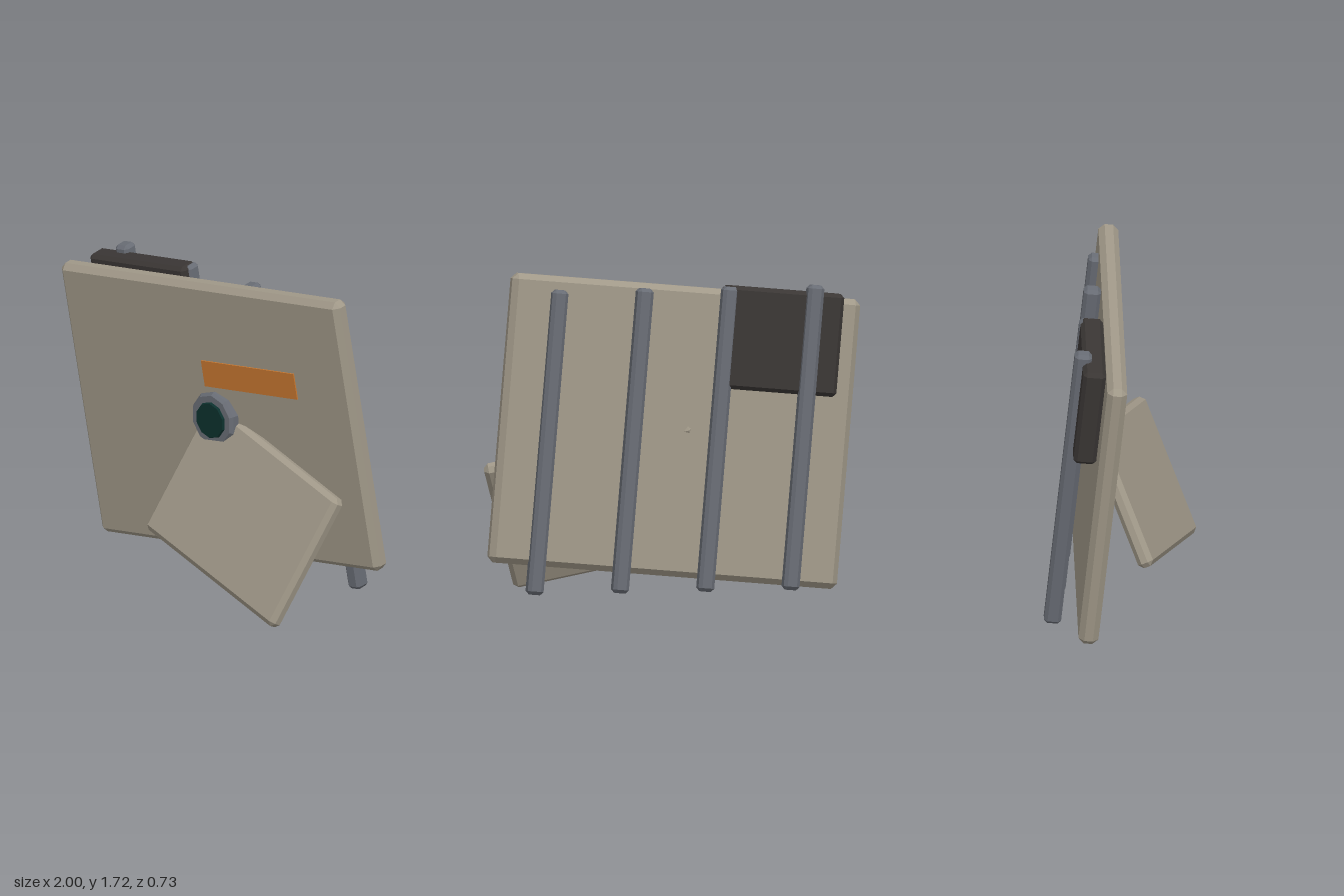
import * as THREE from 'three';
import { ConvexGeometry } from 'three/addons/geometries/ConvexGeometry.js';

const mat = (color) => new THREE.MeshStandardMaterial({ color, flatShading: true });

// Box with evenly chamfered edges and corners
function chamferBox(w, h, d, c) {
  const pts = [];
  for (const x of [-1, 1]) for (const y of [-1, 1]) for (const z of [-1, 1]) {
    const X = x * w / 2, Y = y * h / 2, Z = z * d / 2;
    pts.push(
      new THREE.Vector3(X, Y - y * c, Z - z * c),
      new THREE.Vector3(X - x * c, Y, Z - z * c),
      new THREE.Vector3(X - x * c, Y - y * c, Z));
  }
  return new ConvexGeometry(pts);
}

// Orientation from a width direction and an approximate height direction
function tilt(width, height) {
  const x = new THREE.Vector3(...width).normalize();
  const z = x.clone().cross(new THREE.Vector3(...height)).normalize();
  const y = z.clone().cross(x);
  return new THREE.Quaternion().setFromRotationMatrix(new THREE.Matrix4().makeBasis(x, y, z));
}

export function createModel() {
  const model = new THREE.Group();
  const plate = mat(0xa09888), steel = mat(0x686c74), dark = mat(0x3a3634);
  const orange = mat(0xc87830), teal = mat(0x0c302d);

  const wallTilt = tilt([1.85, 0.2, -0.145], [-0.15, 1.5, 0.165]);
  const slabTilt = tilt([1.07, -0.24, 0.18], [0.18, 0.68, -0.295]);

  function add(name, geometry, material, position, rotation) {
    const mesh = new THREE.Mesh(geometry, material);
    mesh.name = name;
    mesh.position.set(...position);
    if (rotation) mesh.quaternion.copy(rotation);
    model.add(mesh);
    return mesh;
  }

  // Large leaning panel and the smaller slab propped against it
  add('mainPanel', chamferBox(1.87, 1.52, 0.105, 0.03), plate, [0, 0.88, -0.11], wallTilt);
  add('leaningSlab', chamferBox(1.12, 0.77, 0.085, 0.025), plate, [0.345, 0.47, 0.1], slabTilt);

  // Ribs behind the panel, stepped straight along x
  for (let i = 0; i < 4; i++) {
    add('backRib', chamferBox(0.085, 1.6, 0.09, 0.018), steel, [-0.665 + 0.45 * i, 0.85, -0.235], wallTilt);
  }

  // Equipment box on the back
  add('backBox', chamferBox(0.64, 0.54, 0.12, 0.02), dark, [-0.553, 1.348, -0.134], wallTilt);

  // Painted stripe
  add('stripe', new THREE.BoxGeometry(0.62, 0.145, 0.012), orange, [0.24, 1.155, -0.049], wallTilt);

  // Ten-sided lamp: bevelled housing with a dark lens
  const housing = new THREE.LatheGeometry([
    [0, -0.035], [0.15, -0.035], [0.15, 0.018], [0.135, 0.035], [0, 0.035],
  ].map(([r, y]) => new THREE.Vector2(r, y)), 10).rotateX(Math.PI / 2);
  add('lampHousing', housing, steel, [0, 0.88, -0.046]);
  add('lampLens', new THREE.CylinderGeometry(0.095, 0.105, 0.03, 10).rotateX(Math.PI / 2),
    teal, [0, 0.88, -0.012]);

  // Small light hidden between the panel and the slab
  add('smallLight', chamferBox(0.07, 0.05, 0.02, 0.005), teal, [0.61, 0.32, -0.045], wallTilt);

  return model;
}
